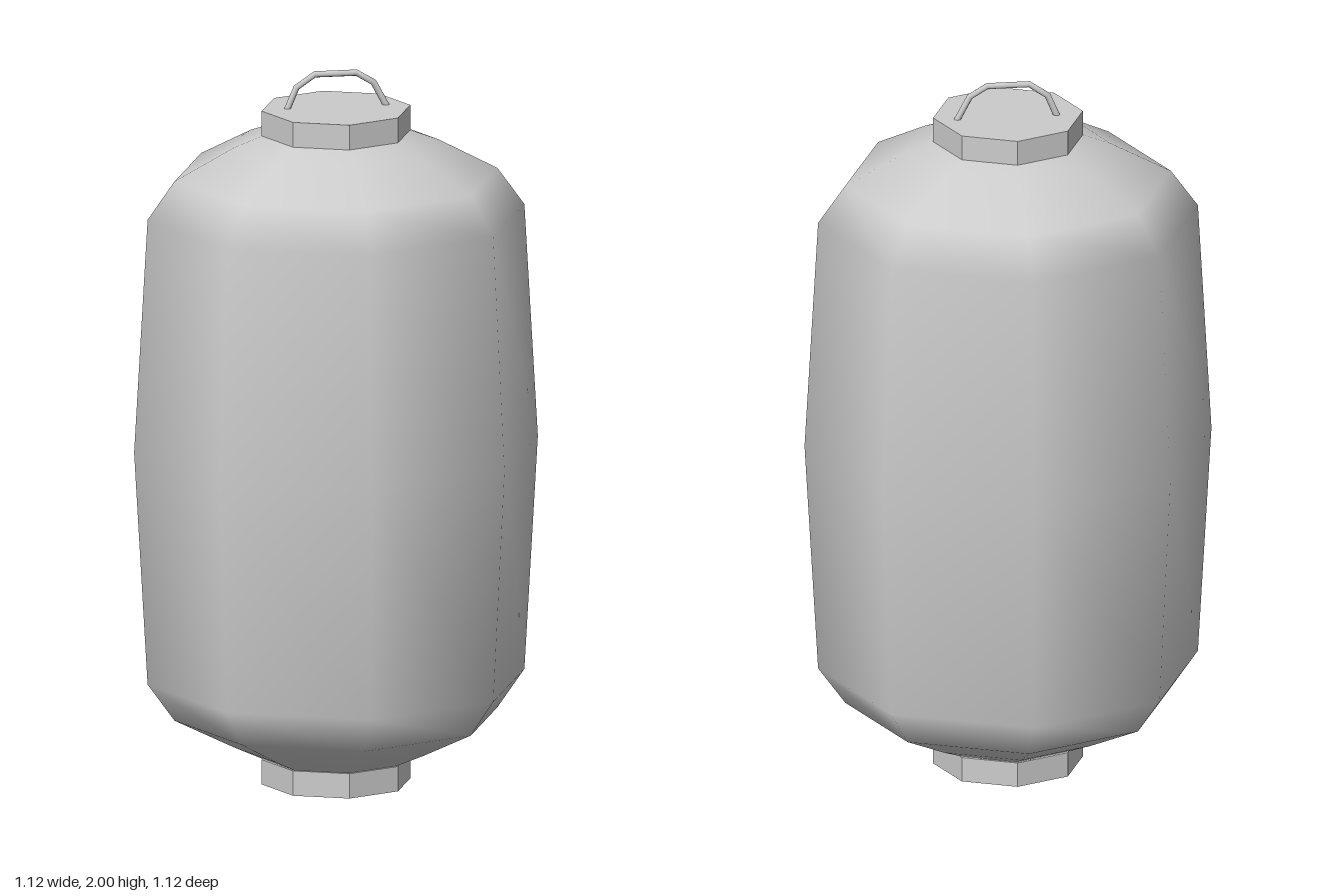
import * as THREE from 'three';

const SIDES = 8;

// Bent wire path: straight runs, with tube rings falling exactly on the corners
class WirePath extends THREE.Curve {
  constructor(points) {
    super();
    this.points = points;
  }
  getUtoTmapping(u) {
    return u;
  }
  getPoint(t, target = new THREE.Vector3()) {
    const last = this.points.length - 1;
    const i = Math.min(Math.floor(t * last), last - 1);
    return target.lerpVectors(this.points[i], this.points[i + 1], t * last - i);
  }
}

export function createModel() {
  const model = new THREE.Group();
  model.name = 'lantern';

  const smooth = new THREE.MeshStandardMaterial({ color: 0xcccccc, side: THREE.DoubleSide });
  const faceted = new THREE.MeshStandardMaterial({ color: 0xcccccc, flatShading: true });

  const add = (name, geometry, material) => {
    const mesh = new THREE.Mesh(geometry, material);
    mesh.name = name;
    model.add(mesh);
    return mesh;
  };

  // Paper shade: eight-sided, smooth-shaded barrel, profile from bottom to top
  const profile = [
    [0.2, 0.07], [0.285, 0.108], [0.45, 0.19], [0.525, 0.295], [0.5625, 0.95],
    [0.525, 1.605], [0.45, 1.71], [0.285, 1.798], [0.2, 1.83],
  ].map(([r, y]) => new THREE.Vector2(r, y));
  add('shade', new THREE.LatheGeometry(profile, SIDES), smooth);

  // Closed collars at both ends
  for (const [name, y] of [['bottomCollar', 0.035], ['topCollar', 1.863]]) {
    add(name, new THREE.CylinderGeometry(0.207, 0.207, 0.07, SIDES), faceted).position.y = y;
  }

  // Thin wire carrying loop
  const wire = [
    [-0.135, 1.89], [-0.107, 1.956], [-0.056, 1.991],
    [0.06, 1.991], [0.108, 1.962], [0.146, 1.89],
  ].map(([x, y]) => new THREE.Vector3(x, y, -0.018));
  add('handle', new THREE.TubeGeometry(new WirePath(wire), wire.length - 1, 0.009, 8), smooth);

  return model;
}
